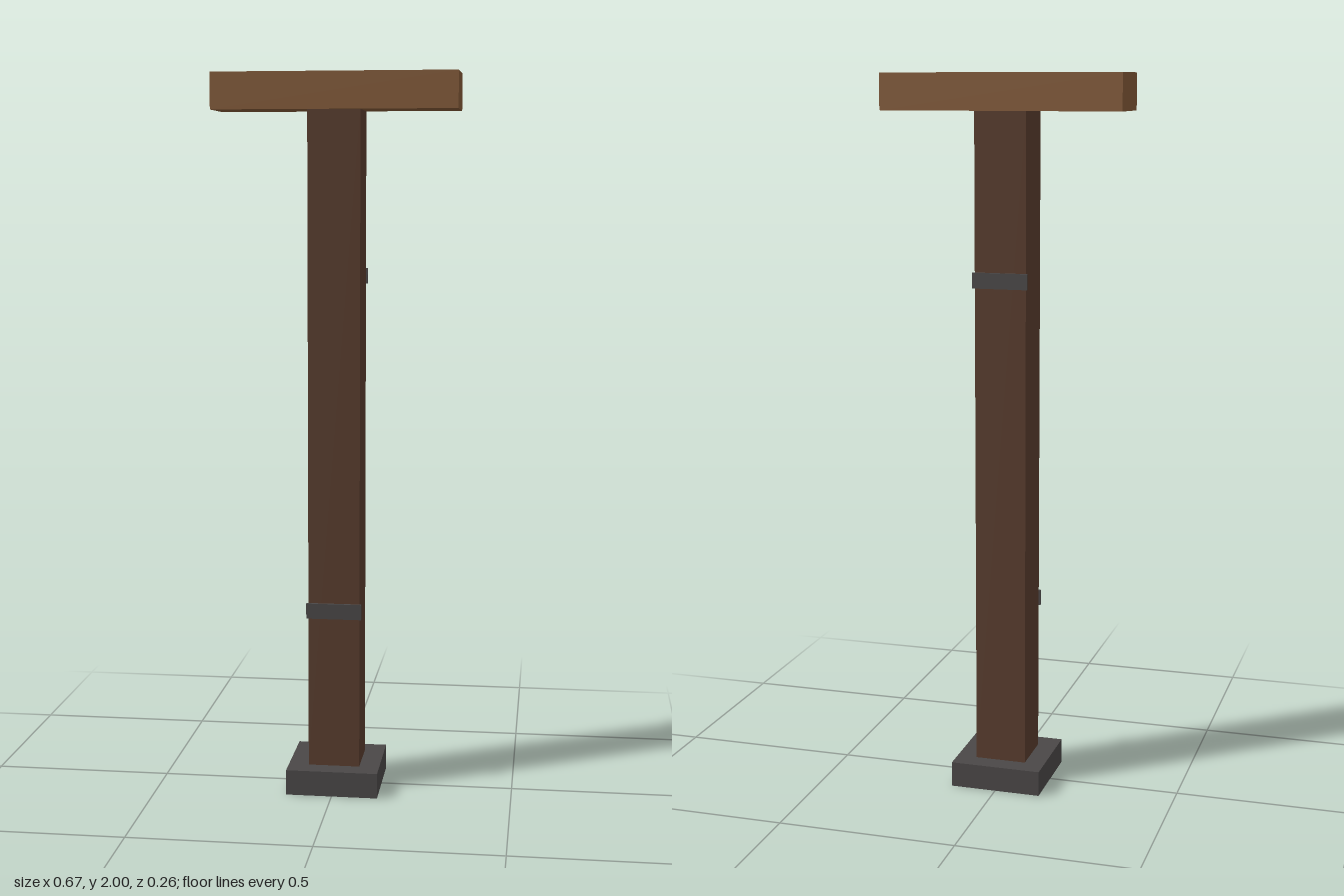
import * as THREE from 'three';

export function createModel() {
  const model = new THREE.Group();
  const material = (name, color) => {
    const m = new THREE.MeshStandardMaterial({ color });
    m.name = name;
    return m;
  };
  const darkWood = material('dark wood', 0x583c2d);
  const lightWood = material('light wood', 0x825937);
  const iron = material('dark iron', 0x4a4747);

  // Box placed by its bottom height
  const box = (name, mat, w, h, d, bottom, z = 0) => {
    const mesh = new THREE.Mesh(new THREE.BoxGeometry(w, h, d), mat);
    mesh.name = name;
    mesh.position.set(0, bottom + h / 2, z);
    model.add(mesh);
  };

  // Foot, post and crossbeam
  box('basePlate', iron, 0.257, 0.071, 0.257, 0);
  box('post', darkWood, 0.144, 1.83, 0.144, 0.071);
  box('crossbeam', lightWood, 0.67, 0.1, 0.174, 1.9);

  // Iron straps, low on the front and high on the back
  box('frontStrap', iron, 0.154, 0.043, 0.009, 0.498, 0.0755);
  box('backStrap', iron, 0.154, 0.043, 0.009, 1.426, -0.0755);

  return model;
}
